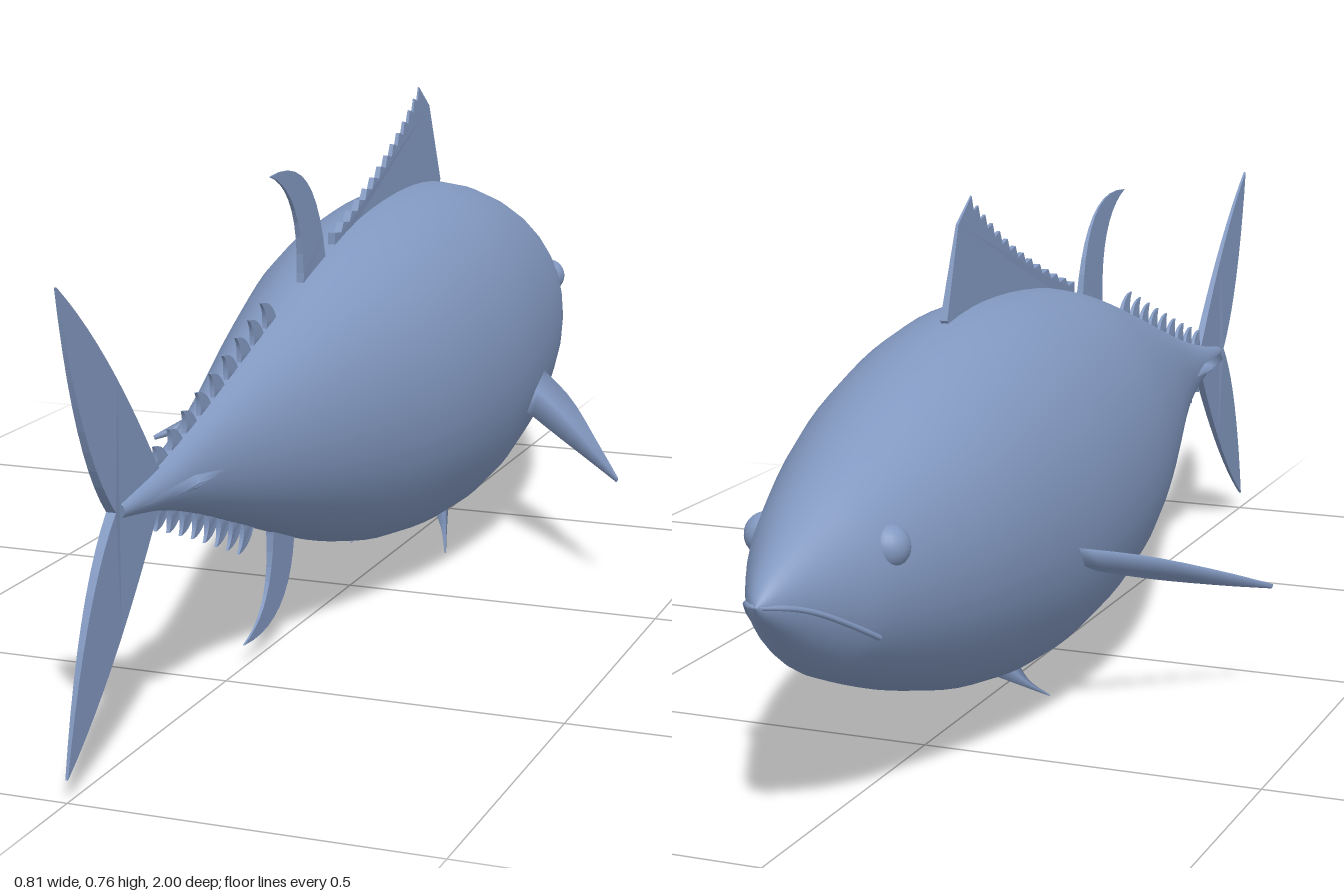
import * as THREE from 'three';

const skin = new THREE.MeshStandardMaterial({ color: 0x8298c0, side: THREE.DoubleSide });
skin.name = 'blue grey skin';

// Body stations, nose to tail: z, top y, bottom y, half width
const stations = [
  [-1, 0.337, 0.337, 0], [-0.985, 0.356, 0.316, 0.017], [-0.95, 0.383, 0.283, 0.04],
  [-0.88, 0.425, 0.226, 0.077], [-0.8, 0.467, 0.184, 0.112], [-0.61, 0.546, 0.114, 0.17],
  [-0.42, 0.596, 0.065, 0.2], [-0.24, 0.608, 0.05, 0.21], [-0.02, 0.587, 0.072, 0.193],
  [0.19, 0.533, 0.126, 0.147], [0.46, 0.447, 0.222, 0.074], [0.6, 0.402, 0.272, 0.042],
  [0.72, 0.37, 0.307, 0.026], [0.84, 0.347, 0.327, 0.01],
];
const track = (k) => new THREE.SplineCurve(stations.map((s) => new THREE.Vector2(s[0], s[k])));
const [topLine, bottomLine, widthLine] = [track(1), track(2), track(3)];

// Point on the body at t along it and angle a around it (a = 0 is the left side)
function bodyPoint(t, a) {
  const top = topLine.getPoint(t), bottom = bottomLine.getPoint(t).y;
  const w = Math.max(widthLine.getPoint(t).y, 0);
  return new THREE.Vector3(w * Math.cos(a),
    (top.y + bottom) / 2 + (top.y - bottom) / 2 * Math.sin(a), top.x);
}

// Parameter along the body at a given z
function paramAt(z) {
  let lo = 0, hi = 1;
  for (let i = 0; i < 30; i++) {
    const m = (lo + hi) / 2;
    if (topLine.getPoint(m).x < z) lo = m; else hi = m;
  }
  return lo;
}

// Skin a list of closed rings of points
function loft(rings) {
  const n = rings[0].length, index = [];
  for (let i = 0; i < rings.length - 1; i++) {
    for (let j = 0; j < n; j++) {
      const a = i * n + j, b = i * n + (j + 1) % n;
      index.push(a, a + n, b, b, a + n, b + n);
    }
  }
  const geo = new THREE.BufferGeometry().setFromPoints(rings.flat());
  geo.setIndex(index);
  geo.computeVertexNormals();
  return geo;
}

// Upright fin outlined in (z, y), thinning away from its root height
function uprightFin(shape, rootY, reach, thickness = 0.012) {
  const geo = new THREE.ExtrudeGeometry(shape,
    { depth: thickness, bevelEnabled: false, curveSegments: 10 });
  geo.translate(0, 0, -thickness / 2).rotateY(-Math.PI / 2);
  const p = geo.attributes.position;
  for (let i = 0; i < p.count; i++) {
    const k = Math.min(Math.abs(p.getY(i) - rootY) / reach, 1);
    p.setX(i, p.getX(i) * (1 - 0.8 * k));
  }
  geo.computeVertexNormals();
  return geo;
}

// Lens-shaped side fin between a leading and a trailing edge
function sideFin(lead, trail, thick, side) {
  const curve = (pts) => new THREE.CatmullRomCurve3(pts.map((p) => new THREE.Vector3(p[0] * side, p[1], p[2])));
  const a = curve(lead), b = curve(trail), rings = [];
  const span = a.getPoint(1).sub(a.getPoint(0));
  const normal = b.getPoint(0).sub(a.getPoint(0)).cross(span).normalize();
  for (let i = 0; i <= 10; i++) {
    const p = a.getPoint(i / 10), q = b.getPoint(i / 10);
    const mid = p.clone().lerp(q, 0.5), h = thick * (1 - 0.85 * i / 10);
    const ring = [p, mid.clone().addScaledVector(normal, h), q, mid.clone().addScaledVector(normal, -h)];
    rings.push(side > 0 ? ring : ring.reverse());
  }
  return loft(rings);
}

export function createModel() {
  const model = new THREE.Group();
  model.name = 'fish';
  const add = (name, geo) => {
    const mesh = new THREE.Mesh(geo, skin);
    mesh.name = name;
    model.add(mesh);
    return mesh;
  };

  // Body
  const rings = [];
  for (let i = 0; i <= 52; i++) {
    rings.push(Array.from({ length: 32 }, (_, j) => bodyPoint(i / 52, j / 32 * Math.PI * 2)));
  }
  add('body', loft(rings));

  // Lip line running round the nose from corner to corner
  const lip = [];
  for (let i = -8; i <= 8; i++) {
    const u = Math.abs(i) / 8, a = -0.52 * u;
    lip.push(bodyPoint(paramAt(-0.996 + 0.166 * u), i < 0 ? Math.PI - a : a));
  }
  add('mouth', new THREE.TubeGeometry(new THREE.CatmullRomCurve3(lip), 40, 0.004, 6));

  // Tail fin
  const tail = new THREE.Shape();
  tail.moveTo(0.72, 0.36);
  tail.lineTo(0.74, 0.383);
  tail.quadraticCurveTo(0.87, 0.56, 1, 0.655);
  tail.quadraticCurveTo(0.95, 0.43, 0.86, 0.34);
  tail.quadraticCurveTo(0.95, 0.25, 1, 0.03);
  tail.quadraticCurveTo(0.87, 0.12, 0.74, 0.3);
  tail.lineTo(0.72, 0.32);
  add('tailFin', uprightFin(tail, 0.34, 0.34, 0.014));

  // First dorsal fin with a toothed rear edge
  const dorsal = new THREE.Shape();
  dorsal.moveTo(-0.4, 0.57);
  dorsal.lineTo(-0.42, 0.6);
  dorsal.lineTo(-0.37, 0.73);
  dorsal.lineTo(-0.32, 0.765);
  const crest = new THREE.QuadraticBezierCurve(new THREE.Vector2(-0.32, 0.765),
    new THREE.Vector2(-0.17, 0.655), new THREE.Vector2(0.08, 0.582));
  const teeth = 13;
  for (let i = 1; i <= teeth; i++) {
    const dip = crest.getPoint((i - 0.7) / teeth), peak = crest.getPoint(i / teeth);
    dorsal.lineTo(dip.x, dip.y - 0.018 * (1 - 0.4 * i / teeth));
    dorsal.lineTo(peak.x, peak.y);
  }
  dorsal.lineTo(0.08, 0.545);
  add('firstDorsalFin', uprightFin(dorsal, 0.58, 0.18));

  // Second dorsal fin, a swept sickle
  const sickle = new THREE.Shape();
  sickle.moveTo(0.12, 0.53);
  sickle.lineTo(0.12, 0.555);
  sickle.bezierCurveTo(0.14, 0.66, 0.2, 0.715, 0.325, 0.7);
  sickle.bezierCurveTo(0.25, 0.68, 0.2, 0.62, 0.21, 0.51);
  add('secondDorsalFin', uprightFin(sickle, 0.53, 0.17));

  // Anal fin
  const anal = new THREE.Shape();
  anal.moveTo(0.25, 0.18);
  anal.lineTo(0.25, 0.15);
  anal.bezierCurveTo(0.255, 0.06, 0.32, 0.02, 0.435, 0.033);
  anal.bezierCurveTo(0.36, 0.05, 0.325, 0.1, 0.335, 0.2);
  add('analFin', uprightFin(anal, 0.18, 0.15));

  // Finlets along the back and belly
  function finletRow(name, line, first, last, count, up) {
    for (let i = 0; i < count; i++) {
      const k = i / (count - 1), z = first + (last - first) * k, s = 1 - 0.3 * k;
      const y = line.getPoint(paramAt(z)).y, h = 0.03 * s * up;
      const yBack = line.getPoint(paramAt(z + 0.03)).y;
      const f = new THREE.Shape();
      f.moveTo(z - 0.012, y - 0.01 * up);
      f.quadraticCurveTo(z, y + h, z + 0.043 * s, y + h);
      f.quadraticCurveTo(z + 0.022, y + h * 0.4, z + 0.03, yBack - 0.008 * up);
      add(name, uprightFin(f, y, 0.04, 0.008));
    }
  }
  finletRow('upperFinlet', topLine, 0.32, 0.7, 9, 1);
  finletRow('lowerFinlet', bottomLine, 0.41, 0.7, 8, -1);

  for (const side of [1, -1]) {
    const label = side > 0 ? 'left' : 'right';

    // Eye
    const eye = add(label + 'Eye', new THREE.SphereGeometry(0.03, 20, 14));
    eye.position.set(0.087 * side, 0.375, -0.8);

    // Pectoral fin
    add(label + 'PectoralFin', sideFin(
      [[0.185, 0.29, -0.42], [0.27, 0.26, -0.32], [0.35, 0.215, -0.205], [0.403, 0.182, -0.13]],
      [[0.185, 0.233, -0.33], [0.26, 0.21, -0.265], [0.345, 0.188, -0.185], [0.4, 0.175, -0.13]],
      0.01, side));

    // Pelvic fin
    add(label + 'PelvicFin', sideFin(
      [[0.046, 0.068, -0.36], [0.066, 0.032, -0.29], [0.085, 0, -0.228]],
      [[0.046, 0.068, -0.27], [0.064, 0.034, -0.262], [0.083, 0.002, -0.226]],
      0.005, side));

    // Keel on the tail stalk
    add(label + 'TailKeel', sideFin(
      [[0, 0.337, 0.45], [0.025, 0.337, 0.52], [0.042, 0.337, 0.58], [0.047, 0.337, 0.64]],
      [[0, 0.337, 0.84], [0.018, 0.337, 0.81], [0.034, 0.337, 0.77], [0.04, 0.337, 0.73]],
      0.016, side));
  }
  return model;
}
